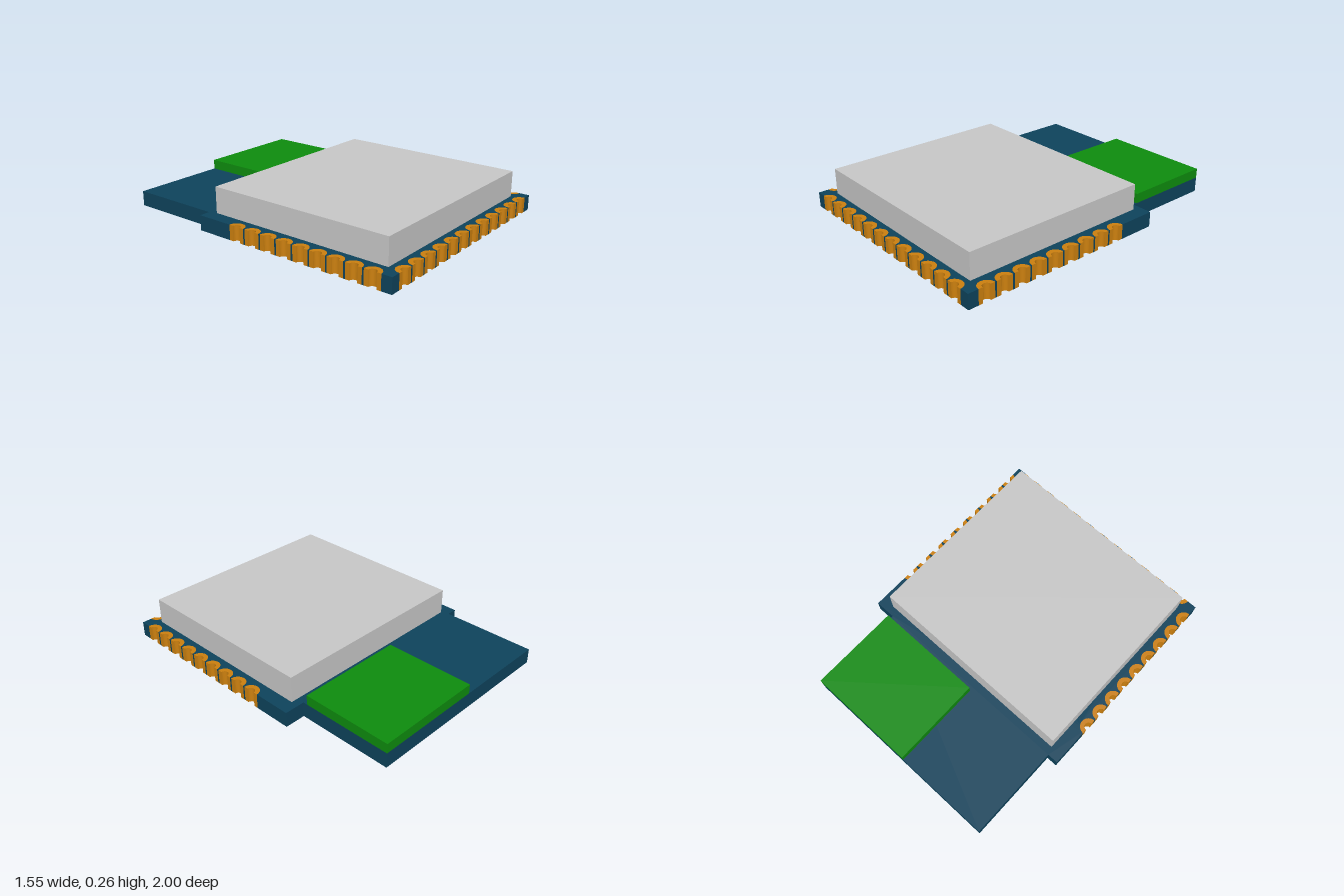
import * as THREE from 'three';

const T = 0.097;            // board thickness
const W = 0.777;            // half width of the wide section
const R = 0.054, r = 0.026; // pad outer and inner radius
const SEG = 10;

const mat = (name, color) => {
  const m = new THREE.MeshStandardMaterial({ color });
  m.name = name;
  return m;
};

// Extrude a plan (x, -z) upwards from y = 0
function slab(shape) {
  const g = new THREE.ExtrudeGeometry(shape, { depth: T, bevelEnabled: false, curveSegments: SEG });
  return g.rotateX(-Math.PI / 2);
}

export function createModel() {
  const group = new THREE.Group();
  const blue = mat('board blue', 0x0e435c);
  const copper = mat('pad copper', 0xcc800f);
  const grey = mat('shield grey', 0xc8c8c8);
  const green = mat('antenna green', 0x0e8c0e);

  const frontX = Array.from({ length: 12 }, (_, i) => -0.66 + i * 0.12);
  const sideZ = Array.from({ length: 9 }, (_, i) => 0.88 - i * 0.12);
  const H = Math.PI / 2;

  // Board outline with half-round notches on three edges
  const s = new THREE.Shape();
  s.moveTo(-W, -1);
  frontX.forEach(x => {
    s.lineTo(x - R, -1);
    s.absarc(x, -1, R, Math.PI, 0, true);
  });
  s.lineTo(W, -1);
  sideZ.forEach(z => {
    s.lineTo(W, -z - R);
    s.absarc(W, -z, R, -H, H, true);
  });
  s.lineTo(W, 0.38);
  s.lineTo(0.643, 0.38);
  s.lineTo(0.643, 1);
  s.lineTo(-0.708, 1);
  s.lineTo(-0.708, 0.38);
  s.lineTo(-W, 0.38);
  [...sideZ].reverse().forEach(z => {
    s.lineTo(-W, -z + R);
    s.absarc(-W, -z, R, H, -H, true);
  });
  s.closePath();
  const board = new THREE.Mesh(slab(s), blue);
  board.name = 'board';
  group.add(board);

  // Half-ring edge pads filling the notches
  const ring = new THREE.Shape();
  ring.absarc(0, 0, R, 0, Math.PI, false);
  ring.absarc(0, 0, r, Math.PI, 0, true);
  ring.closePath();
  const padGeometry = slab(ring);
  const addPad = (name, x, z, turn) => {
    const pad = new THREE.Mesh(padGeometry, copper);
    pad.name = name;
    pad.position.set(x, 0, z);
    pad.rotation.y = turn;
    group.add(pad);
  };
  frontX.forEach(x => addPad('frontPad', x, 1, 0));
  sideZ.forEach(z => {
    addPad('leftPad', W, z, H);
    addPad('rightPad', -W, z, -H);
  });

  // Blocks on top of the board, given by their limits
  const block = (name, material, x0, x1, y1, z0, z1) => {
    const m = new THREE.Mesh(new THREE.BoxGeometry(x1 - x0, y1 - T, z1 - z0), material);
    m.name = name;
    m.position.set((x0 + x1) / 2, (T + y1) / 2, (z0 + z1) / 2);
    group.add(m);
  };
  block('shield', grey, -0.69, 0.687, 0.265, -0.33, 0.917);
  block('antennaBlock', green, -0.075, 0.643, 0.16, -1, -0.407);

  return group;
}
